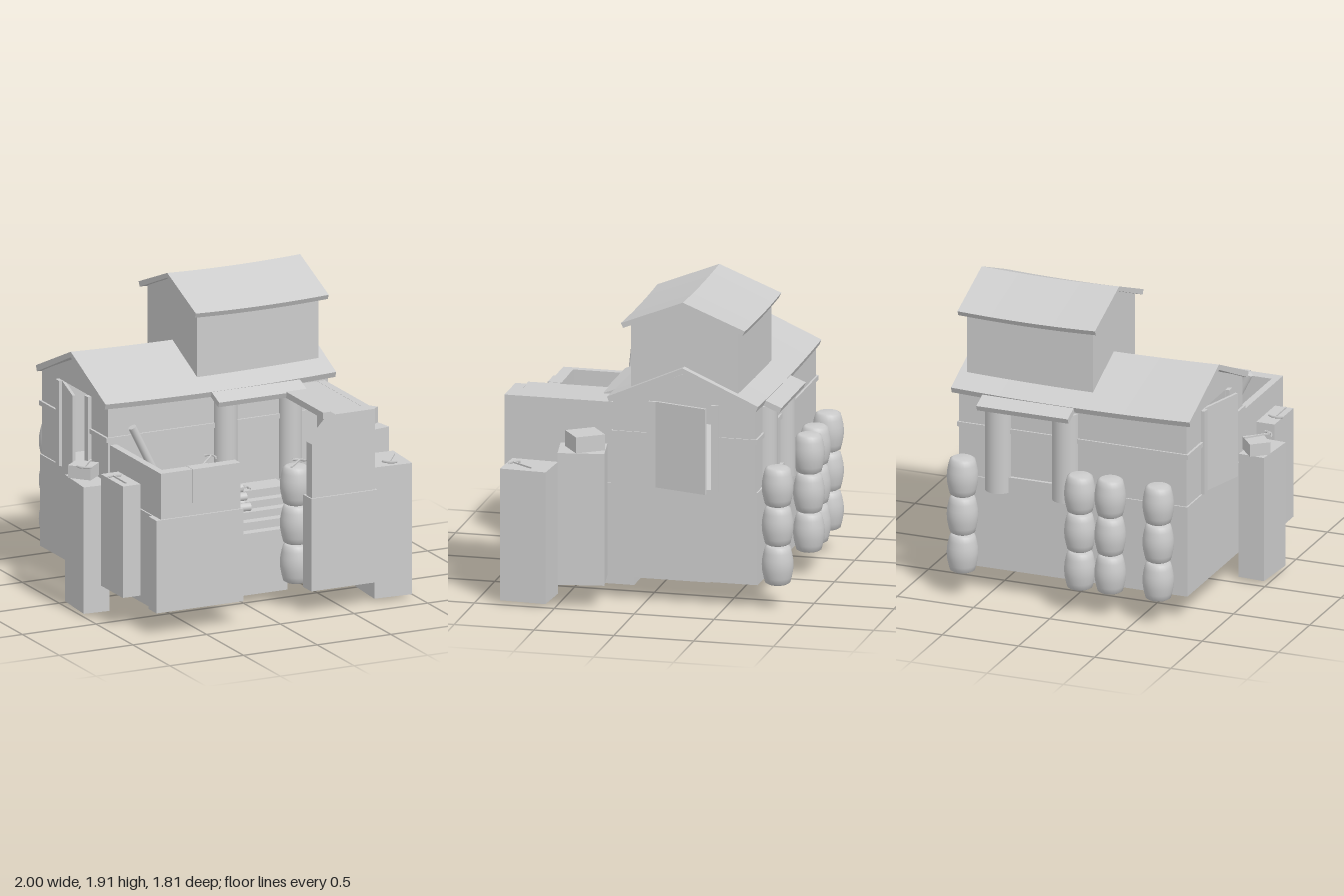
import * as THREE from 'three';
import { toCreasedNormals } from 'three/addons/utils/BufferGeometryUtils.js';

const grey = new THREE.MeshStandardMaterial({ color: 0xcccccc, side: THREE.DoubleSide });
const RIDGE_Z = -0.243;

export function createModel() {
  const root = new THREE.Group();

  const add = (name, geo, parent = root) => {
    const m = new THREE.Mesh(geo, grey);
    m.name = name;
    parent.add(m);
    return m;
  };
  // Box from its minimum and maximum on each axis
  const box = (name, x0, x1, y0, y1, z0, z1) => {
    const m = add(name, new THREE.BoxGeometry(x1 - x0, y1 - y0, z1 - z0));
    m.position.set((x0 + x1) / 2, (y0 + y1) / 2, (z0 + z1) / 2);
    return m;
  };
  // Round bar between two points
  const bar = (name, a, b, r) => {
    const p = new THREE.Vector3(...a), q = new THREE.Vector3(...b);
    const d = q.clone().sub(p);
    const m = add(name, toCreasedNormals(new THREE.CylinderGeometry(r, r, d.length(), 12), 0.8));
    m.position.copy(p).add(q).multiplyScalar(0.5);
    m.quaternion.setFromUnitVectors(new THREE.Vector3(0, 1, 0), d.normalize());
  };
  const shapeOf = pts => new THREE.Shape(pts.map(p => new THREE.Vector2(...p)));
  // Profile across z, extruded along x and centred on the ridge line
  const alongX = (shape, x0, x1, steps = 1) =>
    new THREE.ExtrudeGeometry(shape, { depth: x1 - x0, steps, bevelEnabled: false })
      .rotateY(Math.PI / 2).translate(x0, 0, RIDGE_Z);

  // Pitched roof whose middle sags a little
  const roof = (name, x0, x1, half, eaveY, ridgeY, sag, t) => {
    const s = shapeOf([[-half, eaveY], [0, ridgeY], [half, eaveY],
      [half - 0.014, eaveY - t], [0, ridgeY - t], [-half + 0.014, eaveY - t]]);
    const g = alongX(s, x0, x1, 10), p = g.attributes.position;
    for (let i = 0; i < p.count; i++) {
      const u = (2 * p.getX(i) - x0 - x1) / (x1 - x0);
      p.setY(i, p.getY(i) - sag * (1 - u * u));
    }
    add(name, toCreasedNormals(g, 0.6));
  };

  // House: stone base, front and back walls, gables with a doorway
  box('houseBase', -0.78, 0.71, 0.15, 0.73, -0.7, 0.2);
  box('frontWall', -0.77, 0.72, 0.73, 1.28, 0.15, 0.2);
  box('backWall', -0.77, 0.72, 0.73, 1.28, -0.69, -0.64);
  for (const [x0, x1] of [[-0.77, -0.72], [0.67, 0.722]]) {
    const gable = shapeOf([[-0.445, 0.73], [-0.17, 0.73], [-0.17, 1.27], [0.17, 1.27],
      [0.17, 0.73], [0.445, 0.73], [0.445, 1.265], [0, 1.455], [-0.445, 1.265]]);
    add('gableWall', alongX(gable, x0, x1));
  }
  roof('mainRoof', -0.8, 0.765, 0.473, 1.29, 1.5, 0.015, 0.035);

  // Upper storey
  const storey = shapeOf([[-0.335, 1.3], [0.335, 1.3], [0.335, 1.745], [0, 1.88], [-0.335, 1.745]]);
  add('upperStorey', alongX(storey, -0.11, 0.715));
  roof('upperRoof', -0.145, 0.757, 0.388, 1.757, 1.912, 0.01, 0.03);

  // Wall trim, door jambs and open doors
  box('frontTrim', -0.785, 0.73, 1.04, 1.07, 0.2, 0.212);
  box('backTrim', -0.785, 0.73, 1.04, 1.07, -0.702, -0.69);
  for (const [side, x, hingeX, hingeZ] of [[-1, -0.775, -0.762, -0.425], [1, 0.72, 0.727, -0.07]]) {
    box('sideTrim', x - 0.01, x + 0.01, 1.04, 1.07, -0.02, 0.21);
    box('sideTrim', x - 0.01, x + 0.01, 1.04, 1.07, -0.7, -0.46);
    for (const z of [-0.045, -0.437])
      box('doorJamb', x - 0.02, x + 0.02, 0.73, 1.27, z - 0.023, z + 0.023);
    const hinge = new THREE.Group();
    hinge.name = 'openDoor';
    hinge.position.set(hingeX, 1, hingeZ);
    hinge.rotation.y = -0.27;
    add('doorPanel', new THREE.BoxGeometry(0.018, 0.54, 0.345), hinge).position.z = -side * 0.172;
    root.add(hinge);
  }

  // Porches with columns on the front and the back
  for (const [porch, dir, x, z, r, colZ] of [
    ['front', 1, 0.22, 0.25, 0.075, 0.2], ['back', -1, 0.26, -0.73, 0.086, -0.675]]) {
    const slab = add(porch + 'Awning', new THREE.BoxGeometry(0.6, 0.035, 0.16));
    slab.position.set(x, 1.247, z);
    slab.rotation.x = dir * 0.38;
    for (const cx of [0.035, 0.475])
      add(porch + 'Column', new THREE.CylinderGeometry(r, r, 0.57, 24)).position.set(cx - 0.01, 0.945, colZ);
  }
  box('backPanel', 0, 0.5, 0.2, 0.76, -0.712, -0.69);

  // Courtyard: lower walls with thinner parapets, and a raised walkway
  box('leftLowerFront', -0.79, -0.2, 0.145, 0.73, 0.79, 0.9);
  box('leftLowerSide', -0.765, -0.71, 0.145, 0.73, -0.4, 0.8);
  box('rightLowerFront', 0.26, 0.71, 0.145, 0.73, 0.79, 0.9);
  box('rightLowerSide', 0.65, 0.705, 0.145, 0.73, -0.4, 0.8);
  box('leftParapetFront', -0.755, -0.215, 0.73, 1.02, 0.815, 0.888);
  box('leftParapetSide', -0.755, -0.71, 0.73, 1.02, 0.2, 0.83);
  box('parapetPatch', -0.54, -0.4, 0.81, 1.022, 0.81, 0.897);
  const slant = shapeOf([[0.27, 0.73], [0.7, 0.73], [0.7, 1.24], [0.43, 1.24], [0.27, 1.07]]);
  add('rightParapetFront', new THREE.ExtrudeGeometry(slant, { depth: 0.073, bevelEnabled: false }))
    .position.z = 0.815;
  box('rightParapetSide', 0.65, 0.7, 0.73, 1.24, 0.2, 0.83);
  box('rightWalkway', 0.38, 0.66, 1.2, 1.239, 0.2, 0.82);

  // Box without a bottom, as used for steps and crates
  const openBox = (...args) => {
    const m = box(...args), index = Array.from(m.geometry.index.array);
    index.splice(18, 6);
    m.geometry.setIndex(index);
    return m;
  };

  // Stairs: bottom, top and front edge of each step
  [[0, 0.66, 0.36], [0.1, 0.61, 0.42], [0.1, 0.565, 0.485], [0.14, 0.52, 0.545], [0.14, 0.47, 0.605]]
    .forEach(([y0, y1, z1]) => openBox('step', -0.23, 0.37, y0, y1, z1 - 0.2, z1));

  // Log pile: height and depth of each log, then the ones lying across
  [[0.7, 0.26], [0.75, 0.3], [0.7, 0.34], [0.69, 0.59], [0.74, 0.635], [0.7, 0.68], [0.79, 0.69],
    [0.75, 0.73], [0.7, 0.775]].forEach(([y, z], i) => {
    const tilt = (i % 3 - 1) * 0.012;
    bar('log', [-0.67, y + tilt, z - tilt], [-0.1, y, z + tilt], 0.026);
  });
  bar('log', [-0.69, 0.78, 0.51], [-0.11, 0.79, 0.41], 0.025);
  bar('log', [-0.69, 0.83, 0.53], [-0.26, 0.8, 0.53], 0.024);
  bar('leaningLog', [-0.72, 1.19, 0.43], [-0.5, 0.75, 0.43], 0.026);

  // Stacks of three round-topped barrels
  const profile = [[0, 0], [0.06, 0.002], [0.077, 0.012], [0.086, 0.045], [0.094, 0.085], [0.097, 0.123],
    [0.094, 0.161], [0.086, 0.201], [0.077, 0.234], [0.06, 0.244], [0, 0.246]].map(p => new THREE.Vector2(...p));
  const barrel = new THREE.LatheGeometry(profile, 24);
  for (const [x, z] of [[0.26, 0.69], [-0.63, -0.8], [-0.315, -0.8], [-0.12, -0.81], [0.65, -0.81]])
    for (let i = 0; i < 3; i++) add('barrel', barrel).position.set(x, 0.152 + i * 0.246, z);

  // Tall crates beside the walls, some with a small box on top
  const crate = (name, x, z, w, d, y0, y1, turn) => {
    openBox(name, x - w / 2, x + w / 2, y0, y1, z - d / 2, z + d / 2).rotation.y = turn;
  };
  crate('tallCrate', 0.855, 0.695, 0.25, 0.29, 0.02, 0.85, -0.06);
  crate('tallCrate', 0.858, 0.36, 0.235, 0.285, 0.15, 0.98, 0.17);
  crate('tallCrate', -0.905, 0.19, 0.17, 0.3, 0.02, 0.82, -0.07);
  crate('tallCrate', -0.848, 0.53, 0.12, 0.3, 0.2, 0.905, 0);
  crate('smallBox', 0.848, 0.345, 0.18, 0.19, 0.98, 1.08, 0.62);
  crate('smallBox', -0.895, 0.12, 0.13, 0.15, 0.82, 0.9, 0.7);

  // Pickaxes lying about: thin handle and a curved head
  const pick = (x, y, z, turn, lean = 0) => {
    const g = new THREE.Group();
    g.name = 'pickaxe';
    g.position.set(x, y, z);
    g.rotation.set(0, turn, lean);
    add('handle', new THREE.BoxGeometry(0.18, 0.01, 0.01), g);
    const head = add('head', new THREE.TorusGeometry(0.065, 0.008, 4, 8, 1.5), g);
    head.rotation.set(Math.PI / 2, 0, -0.75, 'XZY');
    head.position.x = 0.02;
    root.add(g);
  };
  pick(-0.87, 0.915, 0.56, Math.PI / 2);
  pick(0.89, 0.86, 0.73, -2.2);
  pick(-0.89, 0.91, 0.16, -2.3);
  pick(0.26, 0.9, 0.69, 0.8);
  pick(-0.16, 0.85, 0.29, 0.5, 0.4);
  pick(-0.16, 0.8, 0.73, 0.3);

  return root;
}
